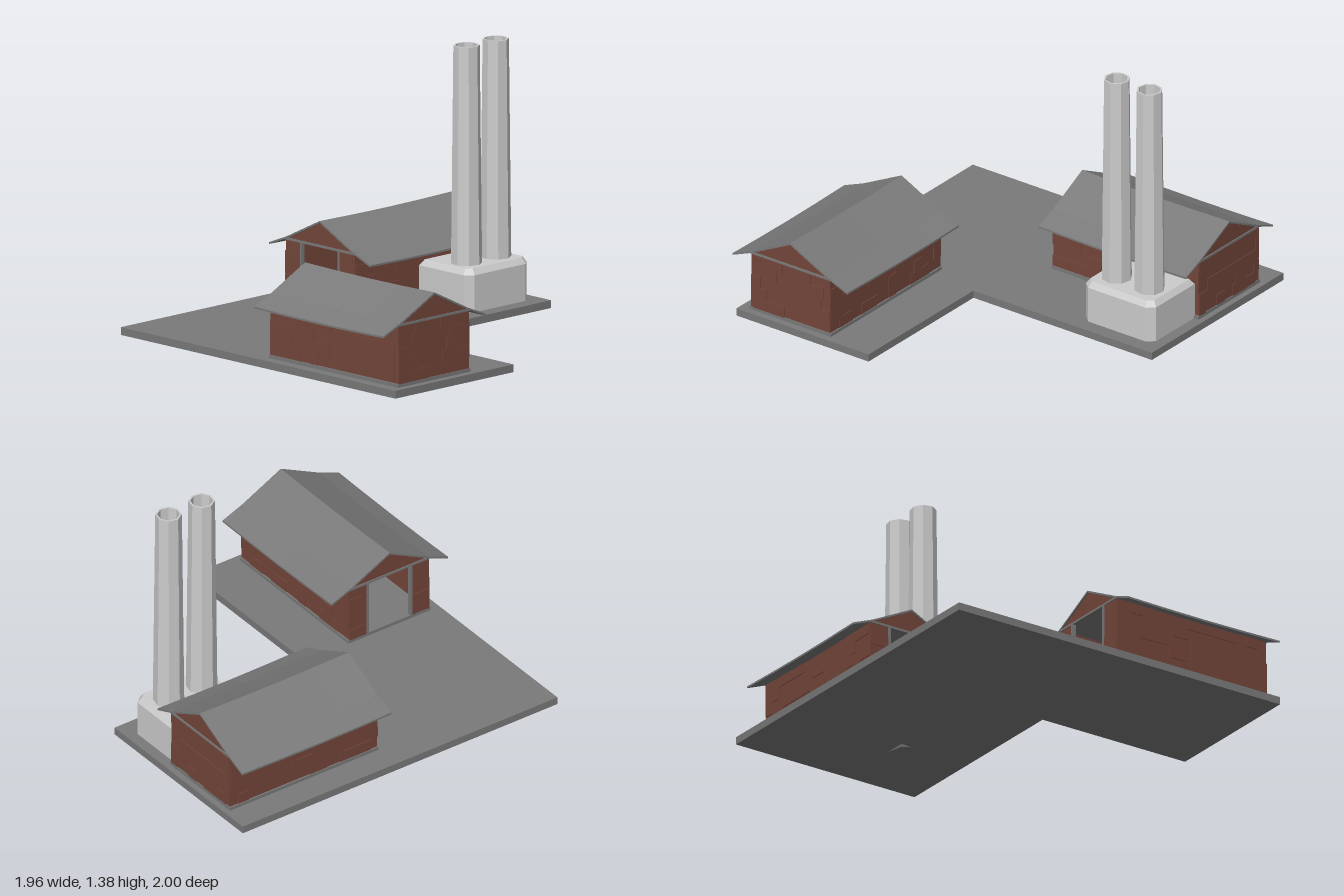
import * as THREE from 'three';
import { mergeGeometries } from 'three/addons/utils/BufferGeometryUtils.js';

const mat = (name, color) => {
  const m = new THREE.MeshStandardMaterial({ color, flatShading: true });
  m.name = name;
  return m;
};

export function createModel() {
  const slate = mat('slate grey', 0x7a7a7a);
  const brick = mat('brick brown', 0x74463a);
  const concrete = mat('pale concrete', 0xcccccc);

  const add = (parent, name, geometry, material, x = 0, y = 0, z = 0) => {
    const m = new THREE.Mesh(geometry, material);
    m.name = name;
    m.position.set(x, y, z);
    parent.add(m);
    return m;
  };
  const box = (parent, name, material, x0, x1, y0, y1, z0, z1) =>
    add(parent, name, new THREE.BoxGeometry(x1 - x0, y1 - y0, z1 - z0), material,
      (x0 + x1) / 2, (y0 + y1) / 2, (z0 + z1) / 2);
  const polygon = pts => new THREE.Shape(pts.map(p => new THREE.Vector2(...p)));

  let seed = 7;
  const random = () => (seed = (seed * 16807) % 2147483647) / 2147483647;

  const FLOOR = 0.055, EAVE = 0.36, HALF = 0.247, LENGTH = 0.925, THICK = 0.015;

  // Wall facing +z, centred on x, with some bricks standing proud of it
  function wall(name, width, blocked = () => false) {
    const g = new THREE.Group();
    g.name = name;
    box(g, 'wallPanel', brick, -width / 2, width / 2, FLOOR, EAVE, -THICK, 0);
    const parts = [], rows = 5, h = (EAVE - FLOOR) / rows;
    for (let r = 0; r < rows; r++) {
      let x = -width / 2;
      while (x < width / 2 - 0.01) {
        const w = Math.min(0.05 + random() * 0.07, width / 2 - x);
        if (random() < 0.5 && !blocked(x, x + w, FLOOR + r * h)) {
          parts.push(new THREE.BoxGeometry(w, h, 0.004)
            .translate(x + w / 2, FLOOR + (r + 0.5) * h, 0.002));
        }
        x += w;
      }
    }
    if (parts.length) add(g, 'raisedBricks', mergeGeometries(parts), brick);
    return g;
  }

  // Height of the roof at a distance from the ridge: flatter towards the eaves
  const roofHeight = d => (d < 0.24 ? 0.485 - d * 0.5 : 0.365 - (d - 0.24) * 0.4);

  // Gabled shed, doorway at z = 0, running back along -z
  function shed(name) {
    const g = new THREE.Group();
    g.name = name;
    const back = -LENGTH + 0.006, front = -0.006, mid = (front + back) / 2, len = front - back;
    box(g, 'floor', slate, -0.255, 0.255, 0.035, FLOOR + 0.003, back - 0.004, front + 0.004);

    // Side walls; the +x one keeps a plain panel towards the rear
    for (const s of [-1, 1]) {
      const side = wall('sideWall', len, (a, b, y) => s > 0 && b > -0.01 && y < 0.25);
      side.position.set(s * HALF, 0, mid);
      side.rotation.y = s * Math.PI / 2;
      g.add(side);
    }
    box(g, 'sidePanel', brick, HALF, HALF + 0.004, 0.06, 0.26, -0.89, -0.46);

    const rear = wall('rearWall', HALF * 2);
    rear.position.z = back;
    rear.rotation.y = Math.PI;
    g.add(rear);

    // Short walls and posts either side of the open doorway
    for (const s of [-1, 1]) {
      const w = HALF - 0.137;
      const pier = wall('doorPier', w);
      pier.position.set(s * (HALF - w / 2), 0, front);
      g.add(pier);
      box(g, 'doorPost', slate, s * 0.135 - 0.006, s * 0.135 + 0.006, FLOOR, EAVE,
        front - THICK, front + 0.006);
    }

    // Gables and the beams below them
    const gable = polygon([[-HALF, 0.355], [HALF, 0.355], [0, 0.479]]);
    for (const z of [front - THICK, back]) {
      add(g, 'gable', new THREE.ExtrudeGeometry(gable, { depth: THICK, bevelEnabled: false }), brick, 0, 0, z);
      box(g, 'gableBeam', slate, -HALF - 0.005, HALF + 0.005, 0.354, 0.366, z - 0.005, z + THICK + 0.005);
    }

    // Thin roof, bent over the ridge with a slight sag along its length
    const roof = new THREE.BoxGeometry(0.72, 0.01, LENGTH, 6, 1, 4);
    const p = roof.attributes.position;
    for (let i = 0; i < p.count; i++) {
      const sag = 0.006 * Math.cos(p.getZ(i) / LENGTH * Math.PI);
      p.setY(i, p.getY(i) + roofHeight(Math.abs(p.getX(i))) - sag);
    }
    roof.computeVertexNormals();
    add(g, 'roof', roof, slate, 0, 0, -LENGTH / 2);
    return g;
  }

  const model = new THREE.Group();
  model.name = 'factory';

  // L-shaped yard slab
  const yard = polygon([[-0.98, -0.95], [0.98, -0.95], [0.98, -0.12], [0.11, -0.12], [0.11, 1], [-0.98, 1]]);
  add(model, 'yardSlab', new THREE.ExtrudeGeometry(yard, { depth: 0.04, bevelEnabled: false }), slate)
    .rotation.x = -Math.PI / 2;

  // The same shed twice, the second turned a quarter
  const rearShed = shed('rearShed');
  rearShed.position.set(-0.573, 0, -0.045);
  const frontShed = shed('frontShed');
  frontShed.position.set(0.02, 0, 0.64);
  frontShed.rotation.y = -Math.PI / 2;
  model.add(rearShed, frontShed);

  // Chimney base with cut corners and a bevelled top
  const base = polygon([[-0.325, 0.5], [-0.005, 0.5], [0.03, 0.54], [0.03, 0.9], [-0.005, 0.94], [-0.325, 0.94]]);
  add(model, 'chimneyBase', new THREE.ExtrudeGeometry(base, {
    depth: 0.2, bevelThickness: 0.03, bevelSize: 0.02, bevelOffset: -0.02, bevelSegments: 1,
  }), concrete, 0, 0.03, 0).rotation.x = -Math.PI / 2;

  // Two hollow eight-sided chimneys
  const profile = [[0.079, 0.25], [0.067, 1.38], [0.057, 1.38], [0.066, 0.265], [0, 0.265]]
    .map(q => new THREE.Vector2(...q));
  for (const z of [-0.617, -0.822]) {
    add(model, 'chimney', new THREE.LatheGeometry(profile, 8), concrete, -0.105, 0, z).rotation.y = 0.17;
  }
  return model;
}
